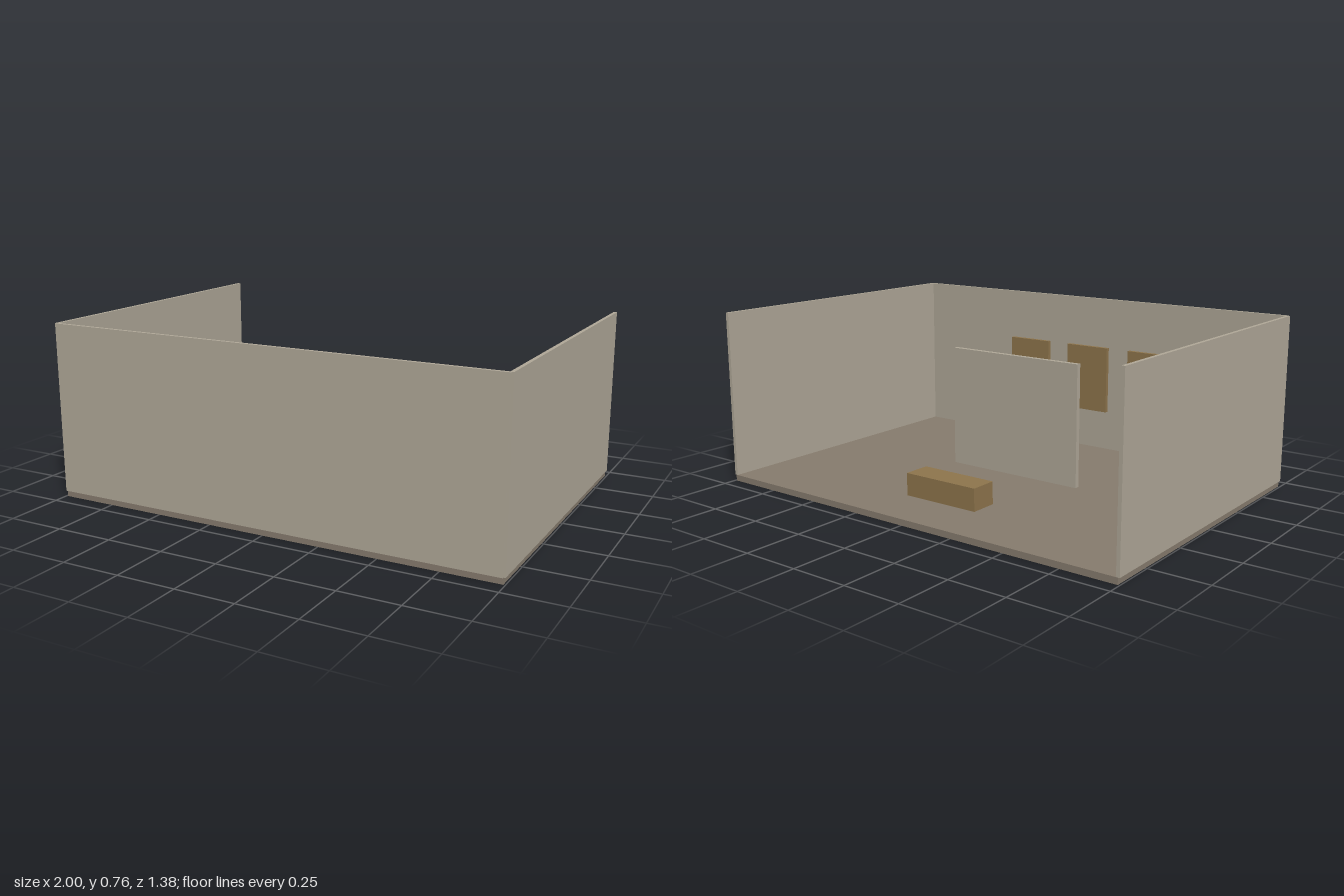
import * as THREE from 'three';

export function createModel() {
  const group = new THREE.Group();
  const material = (name, color) => {
    const m = new THREE.MeshStandardMaterial({ color });
    m.name = name;
    return m;
  };
  const wallPaint = material('wall paint', 0xb0a898);
  const floorStone = material('floor stone', 0x877c6e);
  const wood = material('wood', 0x8e754c);

  // Box given by its min and max corners
  const block = (name, mat, [x0, y0, z0], [x1, y1, z1]) => {
    const mesh = new THREE.Mesh(new THREE.BoxGeometry(x1 - x0, y1 - y0, z1 - z0), mat);
    mesh.position.set((x0 + x1) / 2, (y0 + y1) / 2, (z0 + z1) / 2);
    mesh.name = name;
    group.add(mesh);
  };

  const floorTop = 0.027, wallTop = 0.76;
  const edgeX = 0.9925, edgeZ = 0.683, back = -0.69, half = 0.0075;

  // Floor slab
  block('floor', floorStone, [-edgeX, 0, back], [edgeX, floorTop, edgeZ]);

  // Walls centred on the floor edges; the back is open
  block('frontWall', wallPaint, [-edgeX, floorTop, edgeZ - half], [edgeX, wallTop, edgeZ + half]);
  for (const [name, s] of [['leftWall', 1], ['rightWall', -1]]) {
    block(name, wallPaint, [s * edgeX - half, floorTop, back], [s * edgeX + half, wallTop, edgeZ]);
  }

  // Free-standing partition
  block('partition', wallPaint, [-0.335, floorTop, 0.056], [0.335, 0.57, 0.078]);

  // Bench facing the partition
  block('bench', wood, [-0.18, floorTop, -0.45], [0.18, 0.125, -0.328]);

  // Three panels hung inside the front wall
  for (const x of [-0.338, 0, 0.338]) {
    block('wallPanel', wood, [x - 0.112, 0.213, 0.657], [x + 0.112, 0.527, edgeZ - half]);
  }
  return group;
}
